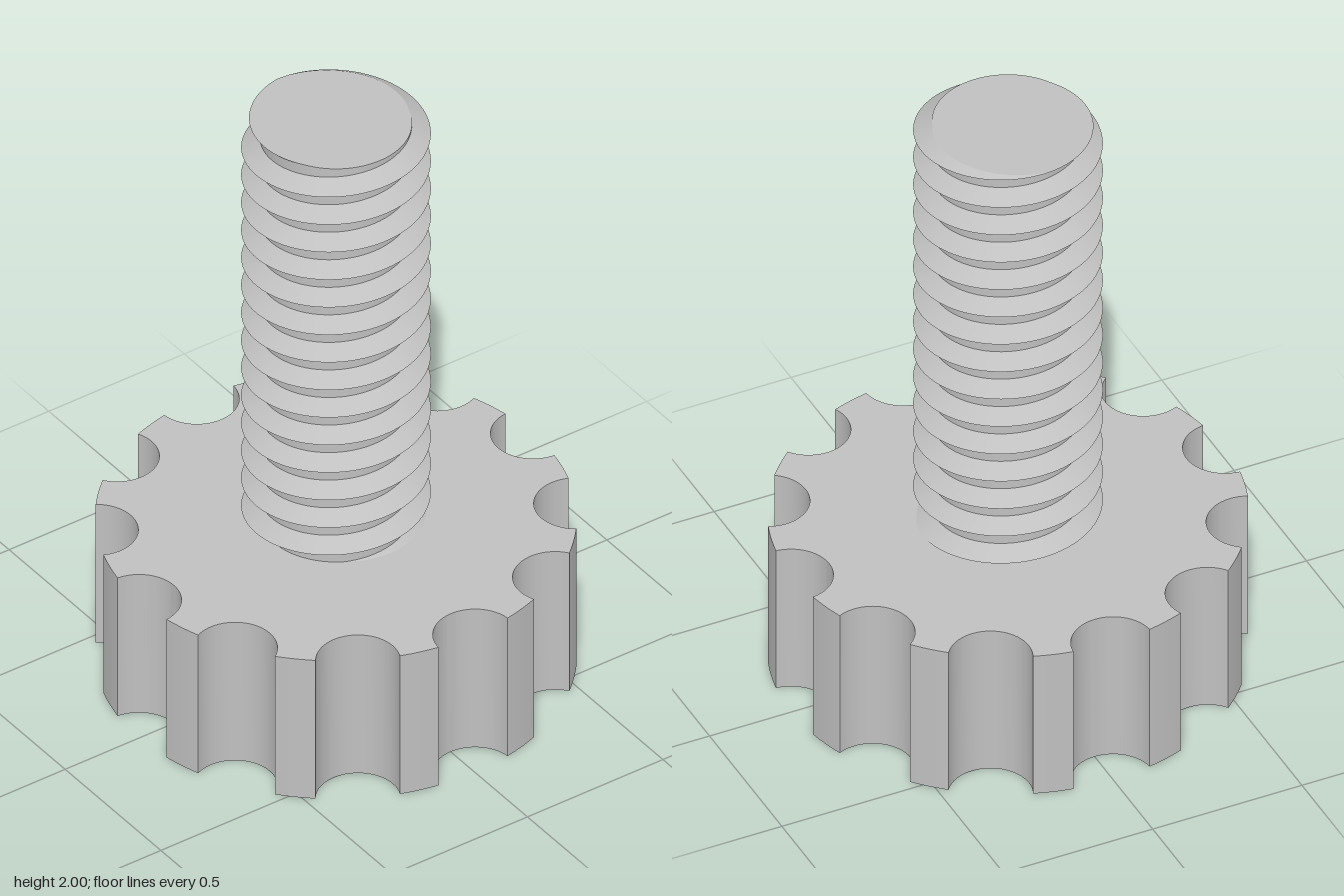
import * as THREE from 'three';
import { toCreasedNormals } from 'three/addons/utils/BufferGeometryUtils.js';

const TOP = 2, HEAD = 0.52, BURIED = 0.5;
const ROOT = 0.229, CREST = 0.286, PITCH = 0.1037, HALF = 0.033;
const SEGMENTS = 120;

// Height of the first crest below the top, at a given angle (0 = +x, turning towards -z)
const crestY = (a) => 1.947 + PITCH * a / (2 * Math.PI);

// Radius of the threaded rod at any height and angle
function threadRadius(y, a) {
  const turns = (y - crestY(a)) / PITCH;
  const d = Math.abs(turns - Math.round(turns)) * PITCH;
  return ROOT + (CREST - ROOT) * Math.max(0, 1 - d / HALF);
}

function rodPoint(y, a) {
  const r = threadRadius(y, a);
  return new THREE.Vector3(r * Math.cos(a), y, -r * Math.sin(a));
}

function geometryFrom(triangles) {
  const area = new THREE.Triangle();
  const points = triangles.filter(([a, b, c]) => area.set(a, b, c).getArea() > 1e-8).flat();
  return new THREE.BufferGeometry().setFromPoints(points);
}

// Helical ridge: every column follows the thread profile, cut flat at both ends
function threadGeometry() {
  const column = (a) => {
    const points = [];
    for (let turn = -16; turn <= 2; turn++) {
      for (const offset of [-HALF, 0, HALF]) {
        const y = crestY(a) + turn * PITCH + offset;
        points.push(rodPoint(THREE.MathUtils.clamp(y, BURIED, TOP), a));
      }
    }
    return points;
  };
  const triangles = [];
  for (let i = 0; i < SEGMENTS; i++) {
    const p = column(i / SEGMENTS * 2 * Math.PI);
    const q = column((i + 1) / SEGMENTS * 2 * Math.PI);
    for (let k = 0; k < p.length - 1; k++) {
      triangles.push([p[k], q[k], q[k + 1]], [p[k], q[k + 1], p[k + 1]]);
    }
  }
  return toCreasedNormals(geometryFrom(triangles), 0.5);
}

// Flat end face following the cut thread
function endGeometry() {
  const centre = new THREE.Vector3(0, TOP, 0);
  const triangles = [];
  for (let i = 0; i < SEGMENTS; i++) {
    const a = i / SEGMENTS * 2 * Math.PI, b = (i + 1) / SEGMENTS * 2 * Math.PI;
    triangles.push([centre, rodPoint(TOP, a), rodPoint(TOP, b)]);
  }
  const geometry = geometryFrom(triangles);
  geometry.computeVertexNormals();
  return geometry;
}

// Round knob with twelve finger scallops
function knobGeometry() {
  const R = 0.727, r = 0.128, count = 12, step = 2 * Math.PI / count;
  const delta = 2 * Math.asin(r / (2 * R));
  const shape = new THREE.Shape();
  for (let i = 0; i < count; i++) {
    const t = i * step;
    shape.absarc(R * Math.cos(t), R * Math.sin(t), r,
      t - Math.PI / 2 - delta / 2, t + Math.PI / 2 + delta / 2, true);
    shape.absarc(0, 0, R, t + delta, t + step - delta, false);
  }
  const geometry = new THREE.ExtrudeGeometry(shape, { depth: HEAD, bevelEnabled: false, curveSegments: 20 });
  geometry.rotateX(-Math.PI / 2);
  return toCreasedNormals(geometry, 0.5);
}

export function createModel() {
  const group = new THREE.Group();
  group.name = 'thumbScrew';
  const steel = new THREE.MeshStandardMaterial({ color: 0xc0c0c0 });
  steel.name = 'light grey';
  const add = (name, geometry) => {
    const mesh = new THREE.Mesh(geometry, steel);
    mesh.name = name;
    group.add(mesh);
  };
  add('scallopedKnob', knobGeometry());
  add('threadedRod', threadGeometry());
  add('rodEnd', endGeometry());
  return group;
}
